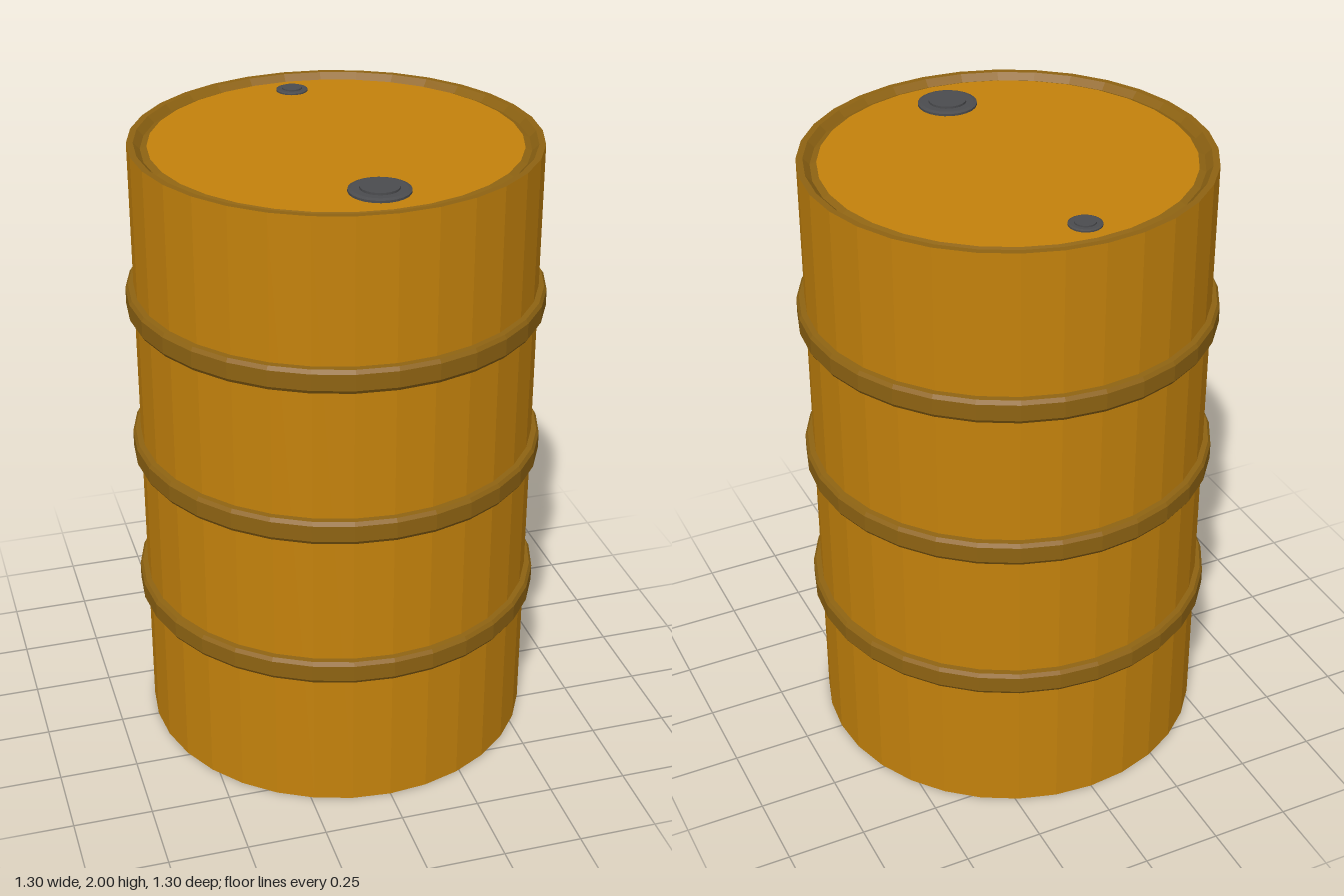
import * as THREE from 'three';

const SIDES = 32;

export function createModel() {
  const model = new THREE.Group();
  model.name = 'barrel';

  const mat = (name, color) => {
    const m = new THREE.MeshStandardMaterial({ color, flatShading: true });
    m.name = name;
    return m;
  };
  const paint = mat('ochre paint', 0xc4820c);
  const trim = mat('dark ochre trim', 0x8e6312);
  const steel = mat('dark steel', 0x4b4c4f);

  // Turned part from [radius, height] pairs listed bottom to top on the outside
  const turned = (name, points, material, sides = SIDES, parent = model) => {
    const profile = points.map(([r, y]) => new THREE.Vector2(r, y));
    const mesh = new THREE.Mesh(new THREE.LatheGeometry(profile, sides), material);
    mesh.name = name;
    parent.add(mesh);
    return mesh;
  };

  // Side wall
  turned('wall', [[0.625, 0], [0.625, 1.995]], paint);

  // Top and bottom rims with a shallow groove, and the recessed end plates
  turned('topRim', [[0.625, 1.995], [0.605, 1.995], [0.585, 1.975], [0.565, 1.983]], trim);
  turned('lid', [[0.565, 1.983], [0, 1.983]], paint);
  turned('bottomRim', [[0.565, 0.012], [0.585, 0.02], [0.605, 0], [0.625, 0]], trim);
  turned('base', [[0, 0.012], [0.565, 0.012]], paint);

  // Three rolling hoops with bevelled edges
  [0.5, 1, 1.5].forEach((y, i) => {
    const hoop = turned('hoop' + (i + 1), [
      [0.62, -0.04], [0.642, -0.038], [0.65, -0.026],
      [0.65, 0.026], [0.642, 0.038], [0.62, 0.04],
    ], trim);
    hoop.position.y = y;
  });

  // Screw plugs: a flange with a raised cap
  const plug = (name, x, z, radius, height) => {
    const group = new THREE.Group();
    group.name = name;
    group.position.set(x, 1.983, z);
    turned('flange', [
      [radius, 0], [radius, height * 0.4], [radius * 0.88, height * 0.6], [radius * 0.64, height * 0.6],
    ], steel, 24, group);
    turned('cap', [
      [radius * 0.64, height * 0.5], [radius * 0.64, height], [0, height],
    ], steel, 24, group);
    model.add(group);
  };
  plug('largePlug', 0.005, 0.425, 0.092, 0.017);
  plug('smallPlug', -0.007, -0.48, 0.05, 0.011);

  return model;
}
